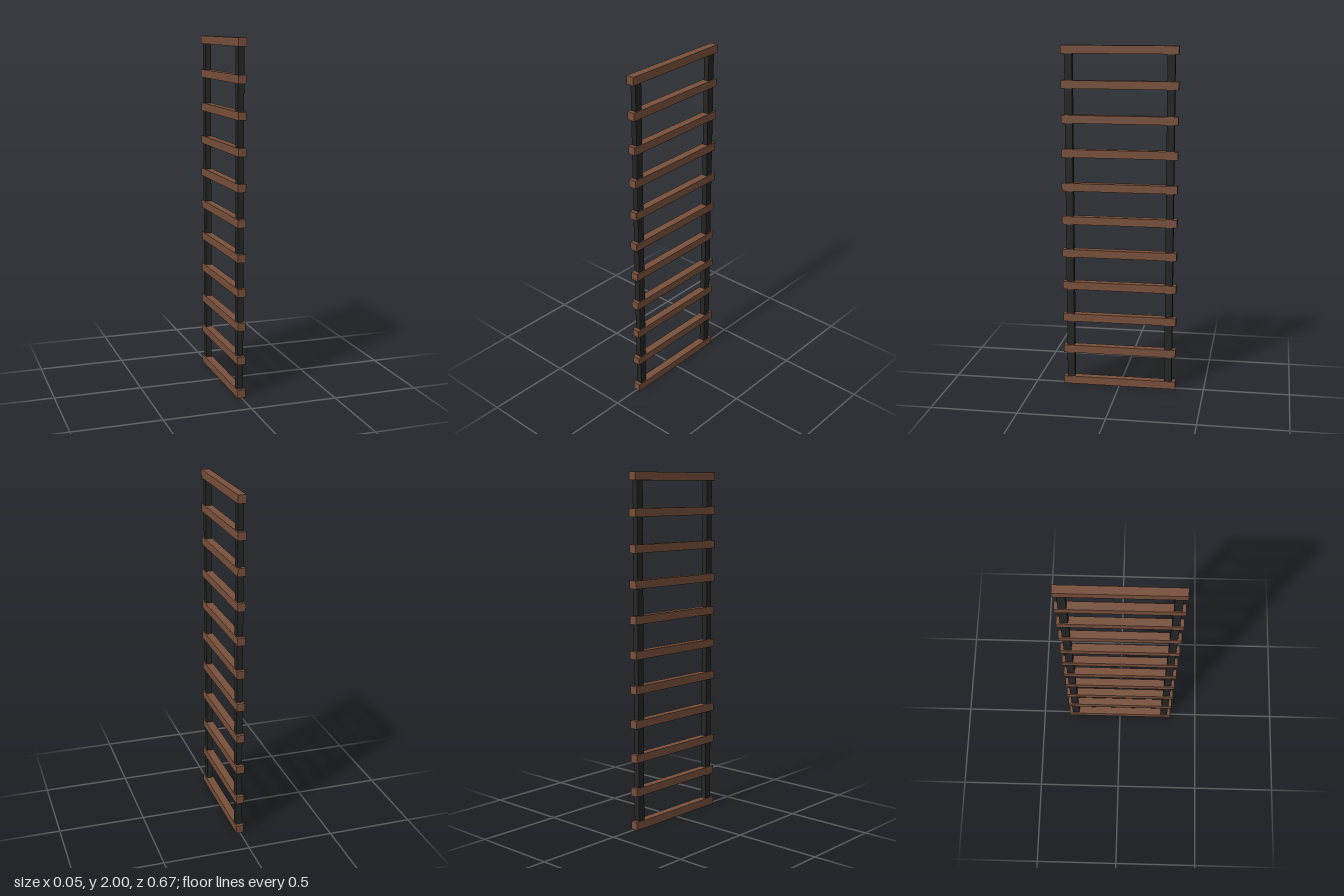
import * as THREE from 'three';

export function createModel() {
  const model = new THREE.Group();
  const wood = new THREE.MeshStandardMaterial({ color: 0x78503c });
  const metal = new THREE.MeshStandardMaterial({ color: 0x252525 });

  const count = 11;
  const thick = 0.046;
  const step = (2 - thick) / (count - 1);

  // Square wooden rungs, evenly spaced from the ground to the top
  const rungGeometry = new THREE.BoxGeometry(thick, thick, 0.666);
  for (let i = 0; i < count; i++) {
    const rung = new THREE.Mesh(rungGeometry, wood);
    rung.name = `rung${i + 1}`;
    rung.position.y = thick / 2 + i * step;
    model.add(rung);
  }

  // Two dark uprights running through the rungs
  const railGeometry = new THREE.BoxGeometry(0.034, 2 - thick, 0.043);
  for (const side of [1, -1]) {
    const rail = new THREE.Mesh(railGeometry, metal);
    rail.name = side > 0 ? 'frontRail' : 'backRail';
    rail.position.set(0, 1, side * 0.29);
    model.add(rail);
  }

  return model;
}
